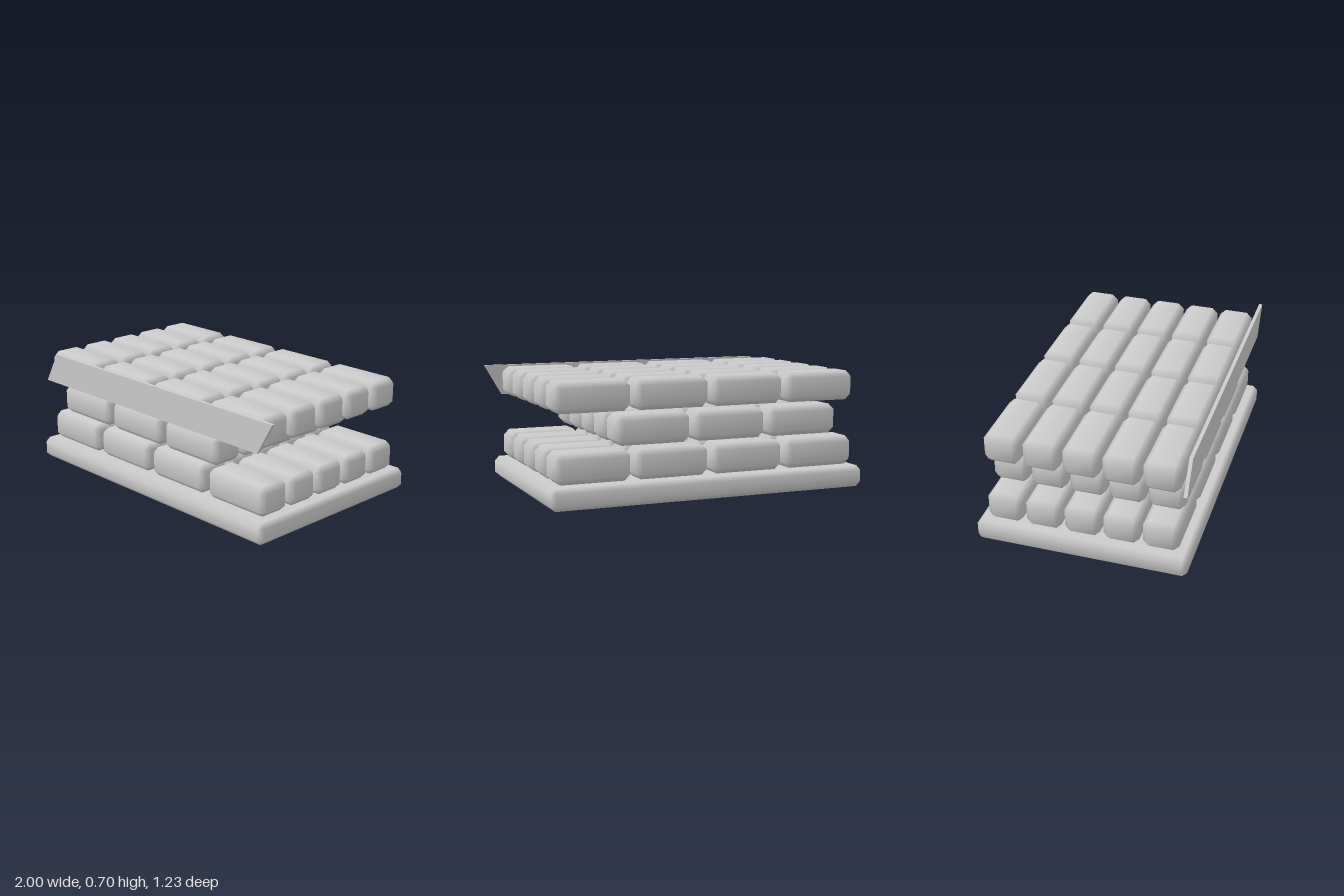
import * as THREE from 'three';
import { ConvexGeometry } from 'three/addons/geometries/ConvexGeometry.js';
import { mergeVertices } from 'three/addons/utils/BufferGeometryUtils.js';

// Box with one chamfer along every edge and smooth shading across it
function chamferedBox(w, h, d, c) {
  const points = [];
  for (const sx of [-1, 1]) for (const sy of [-1, 1]) for (const sz of [-1, 1]) {
    const x = w / 2, y = h / 2, z = d / 2;
    points.push(
      new THREE.Vector3(sx * x, sy * (y - c), sz * (z - c)),
      new THREE.Vector3(sx * (x - c), sy * y, sz * (z - c)),
      new THREE.Vector3(sx * (x - c), sy * (y - c), sz * z)
    );
  }
  const hull = new ConvexGeometry(points);
  hull.deleteAttribute('normal');
  const geometry = mergeVertices(hull, 1e-4);
  geometry.computeVertexNormals();
  return geometry;
}

export function createModel() {
  const model = new THREE.Group();
  model.name = 'brickStack';
  const material = new THREE.MeshStandardMaterial({ color: 0xcccccc });

  function addMesh(parent, name, geometry, x, y, z) {
    const mesh = new THREE.Mesh(geometry, material);
    mesh.name = name;
    mesh.position.set(x, y, z);
    parent.add(mesh);
  }

  // Base slab
  addMesh(model, 'baseSlab', chamferedBox(1.945, 0.127, 1.232, 0.028), -0.0275, 0.0635, 0);

  // Three layers of bricks, the middle one staggered and one column shorter
  const width = 0.443, height = 0.174, depth = 0.207;
  const brick = chamferedBox(width, height, depth, 0.034);
  const layers = [
    { name: 'lowerBricks', left: -0.958, bottom: 0.13, columns: 4 },
    { name: 'middleBricks', left: -0.844, bottom: 0.327, columns: 3 },
    { name: 'upperBricks', left: -0.958, bottom: 0.522, columns: 4 }
  ];
  for (const { name, left, bottom, columns } of layers) {
    const layer = new THREE.Group();
    layer.name = name;
    for (let col = 0; col < columns; col++) {
      for (let row = -2; row <= 2; row++) {
        addMesh(layer, 'brick', brick,
          left + width / 2 + col * 0.472, bottom + height / 2, row * 0.227);
      }
    }
    model.add(layer);
  }

  // Slanted-end board along the front of the upper layer
  const outline = new THREE.Shape([
    new THREE.Vector2(-0.95, 0.517),
    new THREE.Vector2(0.893, 0.517),
    new THREE.Vector2(1, 0.702),
    new THREE.Vector2(-0.843, 0.702)
  ]);
  const board = new THREE.ExtrudeGeometry(outline, { depth: 0.021, bevelEnabled: false });
  addMesh(model, 'frontBoard', board, 0, 0, 0.577);

  return model;
}
